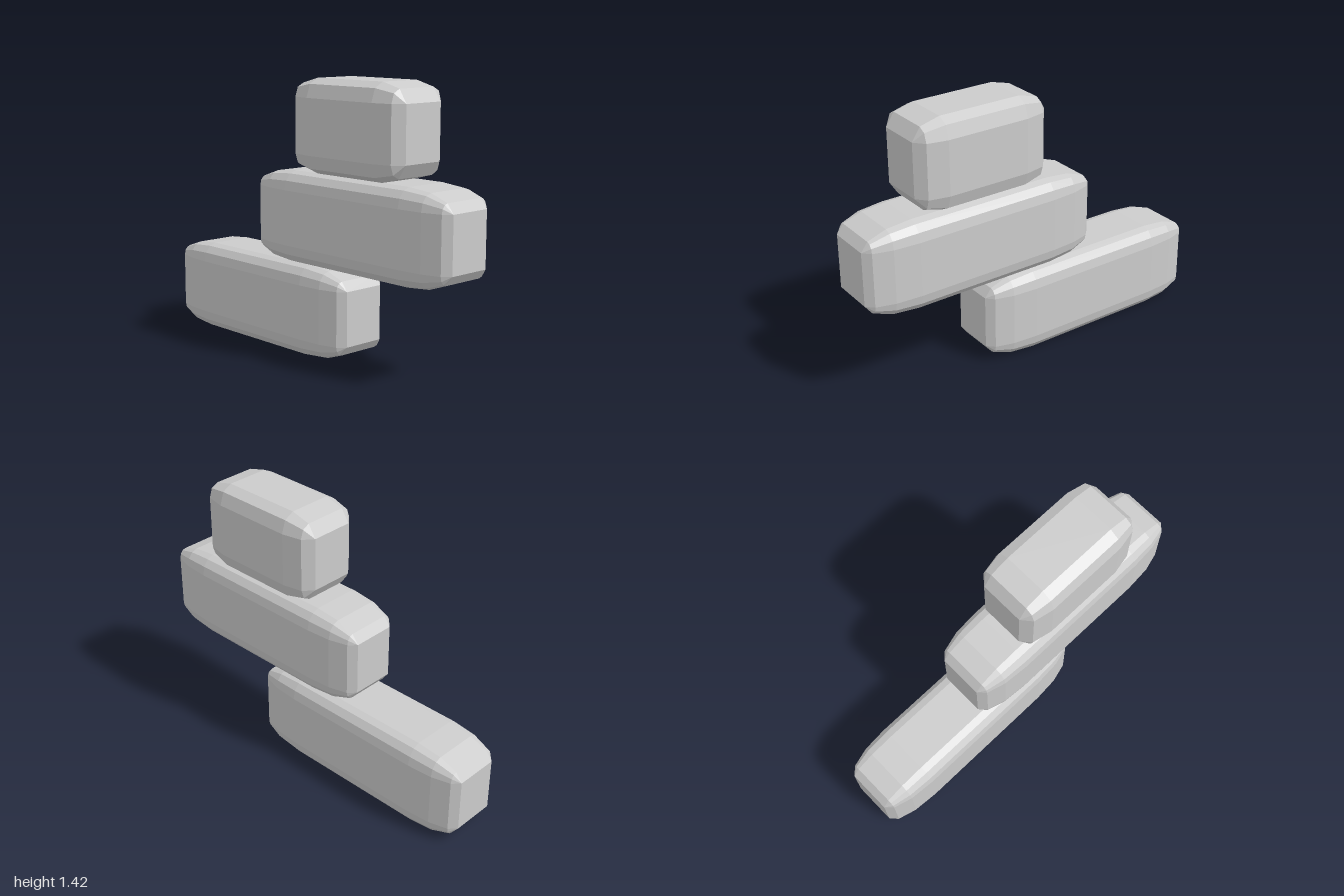
import * as THREE from 'three';

// Block with rounded edges: half sizes, a separate bevel radius per axis, n bevel steps.
function bevelledBlock([hx, hy, hz], [rx, ry, rz], n) {
  const pos = [], idx = [], ring = 4 * (n + 1);

  // Cross-sections along x; each is a rectangle with rounded corners
  const addRing = (x, s) => {
    for (let q = 0; q < 4; q++) {
      const sy = q === 0 || q === 3 ? 1 : -1;
      const sz = q < 2 ? 1 : -1;
      for (let k = 0; k <= n; k++) {
        const a = (q + k / n) * Math.PI / 2;
        pos.push(x, sy * (hy - ry) + ry * s * Math.cos(a), sz * (hz - rz) + rz * s * Math.sin(a));
      }
    }
  };
  for (const side of [-1, 1]) {
    for (let i = 0; i <= n; i++) {
      const a = (side < 0 ? i : n - i) / n * Math.PI / 2;
      addRing(side * (hx - rx + rx * Math.cos(a)), Math.sin(a));
    }
  }

  // Skin between sections; at the two ends the corners shrink to single points
  const last = 2 * n + 1;
  for (let i = 0; i < last; i++) {
    for (let j = 0; j < ring; j++) {
      const j2 = (j + 1) % ring, corner = j % (n + 1) < n;
      const a = i * ring + j, b = i * ring + j2, c = b + ring, d = a + ring;
      if (!(corner && i === 0)) idx.push(a, b, c);
      else idx.push(a, c, d);
      if (!(corner && (i === 0 || i === last - 1))) idx.push(a, c, d);
    }
  }

  // Flat end faces
  const m = n + 1, e = last * ring;
  idx.push(0, 2 * m, m, 0, 3 * m, 2 * m);
  idx.push(e, e + m, e + 2 * m, e, e + 2 * m, e + 3 * m);

  const indexed = new THREE.BufferGeometry();
  indexed.setAttribute('position', new THREE.Float32BufferAttribute(pos, 3));
  indexed.setIndex(idx);
  const geometry = indexed.toNonIndexed();
  geometry.computeVertexNormals();
  return geometry;
}

export function createModel() {
  const group = new THREE.Group();
  const material = new THREE.MeshStandardMaterial({ color: 0xcccccc, flatShading: true });
  const height = 0.472;

  // Two long blocks, stepped sideways, and a short one on top
  const longBlock = bevelledBlock([0.662, height / 2, 0.19], [0.27, 0.095, 0.075], 3);
  const shortBlock = bevelledBlock([0.372, height / 2, 0.19], [0.15, 0.095, 0.075], 2);

  [
    ['bottomBlock', longBlock, -0.338],
    ['middleBlock', longBlock, 0.338],
    ['topBlock', shortBlock, 0.335],
  ].forEach(([name, geometry, x], level) => {
    const block = new THREE.Mesh(geometry, material);
    block.name = name;
    block.position.set(x, height * (level + 0.5), 0);
    group.add(block);
  });
  return group;
}
